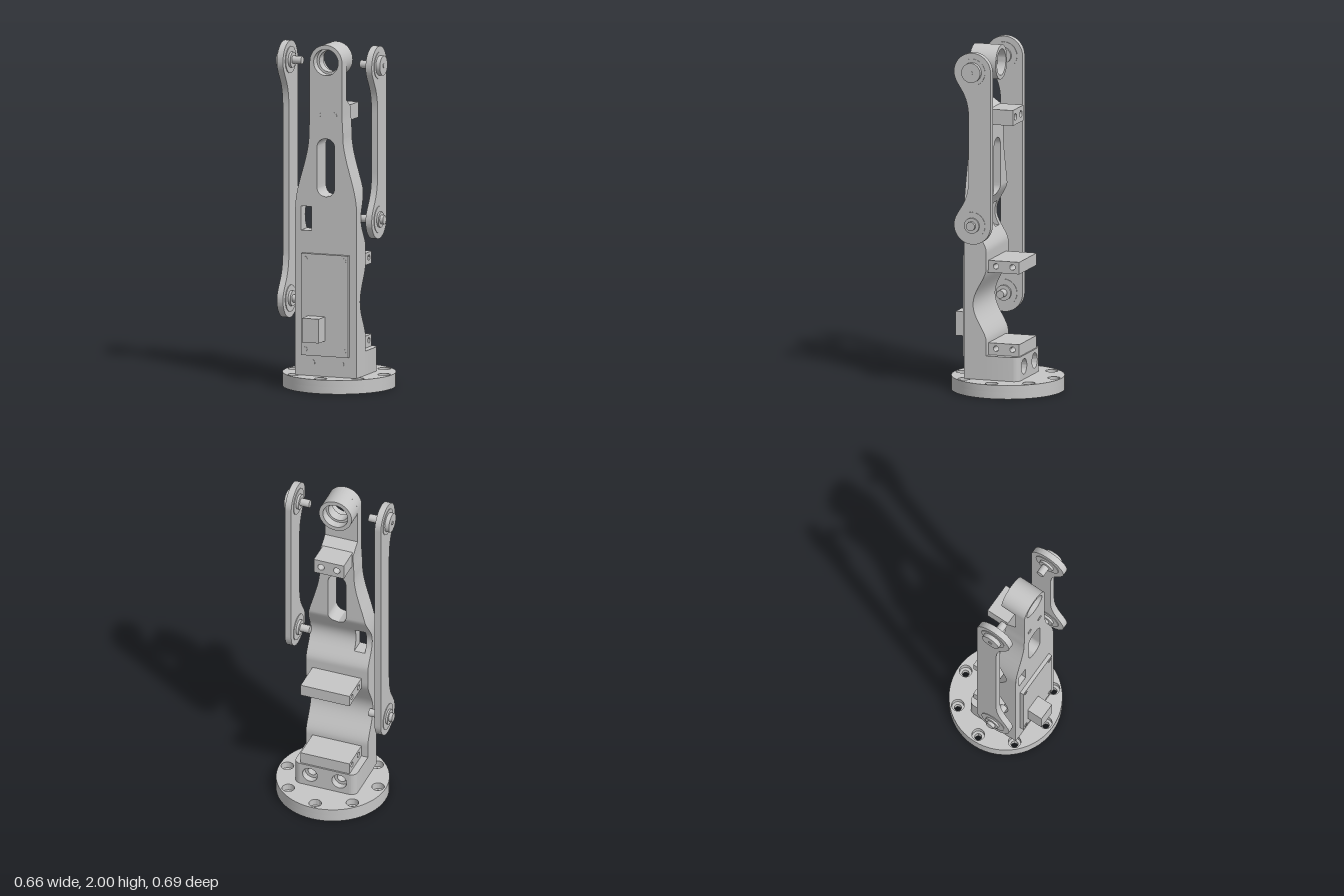
import * as THREE from 'three';
import { toCreasedNormals } from 'three/addons/utils/BufferGeometryUtils.js';

const steel = new THREE.MeshStandardMaterial({ color: 0xc6c6c6 });
steel.name = 'machined light grey';

const clamp01 = (t) => Math.min(1, Math.max(0, t));
const smooth = (a, b, y) => THREE.MathUtils.smoothstep(y, a, b);

function circlePath(x, y, r) {
  return new THREE.Path().absarc(x, y, r, 0, Math.PI * 2, true);
}
function rectShape(x0, y0, x1, y1) {
  return new THREE.Shape([[x0, y0], [x1, y0], [x1, y1], [x0, y1]].map((p) => new THREE.Vector2(...p)));
}
function extrude(shape, depth, holes = []) {
  shape.holes.push(...holes);
  const geo = new THREE.ExtrudeGeometry(shape, { depth, bevelEnabled: false, curveSegments: 28 });
  return toCreasedNormals(geo, 0.6);
}

// Loft of rectangles stacked in y, for the shaped column
function strip(y0, y1, rows, zLeft, zRight, xBack, xFront) {
  const pos = [], idx = [];
  for (let j = 0; j <= rows; j++) {
    const y = y0 + (y1 - y0) * j / rows;
    const l = zLeft(y), r = zRight(y), f = xFront(y);
    pos.push(xBack, y, l, xBack, y, r, f, y, r, f, y, l);
  }
  for (let j = 0; j < rows; j++) {
    for (let i = 0; i < 4; i++) {
      const a = j * 4 + i, b = j * 4 + (i + 1) % 4;
      idx.push(a, b, b + 4, a, b + 4, a + 4);
    }
  }
  const t = rows * 4;
  idx.push(0, 2, 1, 0, 3, 2, t, t + 1, t + 2, t, t + 2, t + 3);
  const geo = new THREE.BufferGeometry();
  geo.setAttribute('position', new THREE.Float32BufferAttribute(pos, 3));
  geo.setIndex(idx);
  return toCreasedNormals(geo, 0.5);
}

export function createModel() {
  const model = new THREE.Group();
  model.name = 'robotArmSegment';
  const arm = new THREE.Group();
  arm.name = 'arm';
  arm.position.set(0.005, 0, -0.025);
  arm.rotation.y = 0.476;
  model.add(arm);

  function add(name, geo, x = 0, y = 0, z = 0, parent = arm) {
    const mesh = new THREE.Mesh(geo, steel);
    mesh.name = name;
    mesh.position.set(x, y, z);
    parent.add(mesh);
    return mesh;
  }

  // Round flange with eight counterbored holes
  for (const [name, y, r] of [['flangeLower', 0, 0.02], ['flangeUpper', 0.04, 0.036]]) {
    const disc = new THREE.Shape().absarc(0, 0, 0.325, 0, Math.PI * 2);
    const holes = [];
    for (let i = 0; i < 8; i++) {
      const a = i * Math.PI / 4;
      holes.push(circlePath(0.278 * Math.cos(a), 0.278 * Math.sin(a), r));
    }
    add(name, extrude(disc, 0.04, holes).rotateX(-Math.PI / 2), 0, y, 0);
  }

  // Column: scooped front face, narrowing upwards, with a window and a long slot
  const bite = (y, c, h, d) => Math.abs(y - c) < h ? d * (0.5 + 0.5 * Math.cos(Math.PI * (y - c) / h)) ** 0.8 : 0;
  const front = (y) => -0.065 - bite(y, 0.515, 0.21, 0.08) - bite(y, 1.0, 0.17, 0.07)
    - 0.07 * clamp01((y - 1.63) / 0.05);
  const half = (y) => 0.19 - 0.085 * smooth(1.04, 1.48, y) - 0.005 * smooth(1.48, 1.6, y);
  const left = (y) => -half(y);
  const slot = (y) => {
    const d = Math.max(0, 1.175 - y, y - 1.405);
    return Math.sqrt(Math.max(0, 0.055 ** 2 - d * d));
  };
  const column = new THREE.Group();
  column.name = 'column';
  arm.add(column);
  const part = (name, y0, y1, rows, l, r) =>
    add(name, strip(y0, y1, rows, l, r, -0.2, front), 0, 0, 0, column);
  part('columnFoot', 0.08, 0.92, 48, left, half);
  part('windowSideBack', 0.92, 1.06, 10, left, () => -0.155);
  part('windowSideFront', 0.92, 1.06, 10, () => -0.09, half);
  part('columnMiddle', 1.06, 1.12, 6, left, half);
  part('slotSideBack', 1.12, 1.46, 40, left, (y) => -slot(y));
  part('slotSideFront', 1.12, 1.46, 40, slot, half);
  part('columnShoulder', 1.46, 1.63, 8, left, half);
  part('columnSlope', 1.63, 1.68, 1, left, half);

  // Column head and bearing ring
  const head = new THREE.Shape();
  head.moveTo(-0.1, 1.68);
  head.lineTo(0.1, 1.68);
  head.lineTo(0.1, 1.9);
  head.absarc(0, 1.9, 0.1, 0, Math.PI, false);
  add('columnHead', extrude(head, 0.065, [circlePath(0, 1.9, 0.085)]).rotateY(Math.PI / 2), -0.2, 0, 0, column);
  const ringProfile = [[0.1, -0.08], [0.1, 0.08], [0.076, 0.08], [0.076, 0.03], [0.062, 0.03],
    [0.062, -0.03], [0.076, -0.03], [0.076, -0.08], [0.1, -0.08]].map((p) => new THREE.Vector2(...p));
  const ring = toCreasedNormals(new THREE.LatheGeometry(ringProfile, 48), 0.5).rotateZ(-Math.PI / 2);
  add('bearingRing', ring, -0.12, 1.9, 0, column);

  // Base block: drilled centre with rounded ends
  const holes = [-0.09, 0.09].map((z) => circlePath(z, 0.155, 0.045));
  add('baseBlock', extrude(rectShape(-0.15, 0.08, 0.15, 0.22), 0.21, holes).rotateY(Math.PI / 2), -0.08, 0, 0);
  const bush = [[0.045, -0.05], [0.045, 0], [0.027, 0], [0.027, -0.05]].map((p) => new THREE.Vector2(...p));
  for (const s of [1, -1]) {
    const end = new THREE.Shape();
    end.moveTo(-0.08, 0);
    end.lineTo(0.13, 0);
    end.absarc(0.09, 0, 0.04, 0, Math.PI / 2, false);
    end.lineTo(-0.08, 0.04);
    const geo = extrude(end, 0.14).rotateX(-Math.PI / 2);
    if (s > 0) geo.rotateX(Math.PI).translate(0, 0.14, 0);
    add('baseBlockEnd', geo, 0, 0.08, s * 0.15);
    const step = toCreasedNormals(new THREE.LatheGeometry(bush, 28), 0.5).rotateZ(-Math.PI / 2);
    add('counterboreStep', step, 0.09, 0.155, s * 0.09);
  }

  // Mounting lugs with drilled holes
  for (const [name, y0, y1] of [['lowerLug', 0.22, 0.29], ['middleLug', 0.7, 0.77]]) {
    const drilled = [-0.02, 0.08].map((x) => circlePath(x, (y0 + y1) / 2 + 0.003, 0.016));
    add(name, extrude(rectShape(-0.1, y0, 0.121, y1), 0.3, drilled), 0, 0, -0.15);
  }
  const upperHoles = [-0.048, 0.048].map((z) => circlePath(z, 1.595, 0.02));
  add('upperLug', extrude(rectShape(-0.092, 1.55, 0.092, 1.64), 0.142, upperHoles).rotateY(Math.PI / 2), -0.08, 0, 0);

  // Rear cover plate, connector box and screws
  add('coverPlate', new THREE.BoxGeometry(0.022, 0.59, 0.29), -0.211, 0.495, 0);
  add('connectorBox', new THREE.BoxGeometry(0.1, 0.14, 0.105), -0.267, 0.36, -0.048);
  const screw = (x, y, z, r) =>
    add('screw', new THREE.CylinderGeometry(r, r, 0.006, 20).rotateZ(Math.PI / 2), x, y, z);
  for (const s of [-1, 1]) {
    screw(-0.221, 0.76, s * 0.12, 0.014);
    screw(-0.221, 0.235, s * 0.12, 0.014);
    screw(-0.199, 0.155, s * 0.09, 0.022);
    screw(-0.199, 1.595, s * 0.05, 0.018);
  }

  // Side links: straight outer edge, waisted inner edge, hubs and pins at both ends
  function addLink(name, side, yLow) {
    const link = new THREE.Group();
    link.name = name;
    link.position.x = -0.113;
    arm.add(link);
    const r = 0.111, yTop = 1.889, waist = -0.022;
    const outline = new THREE.Shape();
    outline.moveTo(r, yLow);
    outline.lineTo(r, yTop);
    outline.absarc(0, yTop, r, 0, Math.PI * 1.13, false);
    outline.bezierCurveTo(-0.07, yTop - 0.11, waist, yTop - 0.14, waist, yTop - 0.28);
    outline.lineTo(waist, yLow + 0.28);
    outline.bezierCurveTo(waist, yLow + 0.14, -0.07, yLow + 0.11, r * Math.cos(Math.PI * 0.87), yLow + r * Math.sin(Math.PI * 0.87));
    outline.absarc(0, yLow, r, Math.PI * 0.87, Math.PI * 2, false);
    add('linkBar', extrude(outline, 0.038), 0, 0, side * 0.275 - 0.019, link);

    const disc = (part, rad, z0, z1, y) =>
      add(part, new THREE.CylinderGeometry(rad, rad, z1 - z0, 36).rotateX(Math.PI / 2), 0, y, side * (z0 + z1) / 2, link);
    for (const y of [yTop, yLow]) {
      const top = y === yTop;
      disc('bearingCap', 0.078, 0.252, 0.297, y);
      disc('pin', 0.023, 0.182, 0.26, y);
      disc('pinCollar', 0.045, 0.238, 0.26, y);
      disc('hub', top ? 0.057 : 0.045, 0.29, top ? 0.322 : 0.308, y);
      disc('hubBolt', top ? 0.012 : 0.026, 0.3, top ? 0.325 : 0.328, y);
    }
  }
  addLink('frontLink', 1, 0.996);
  addLink('backLink', -1, 0.506);

  return model;
}
